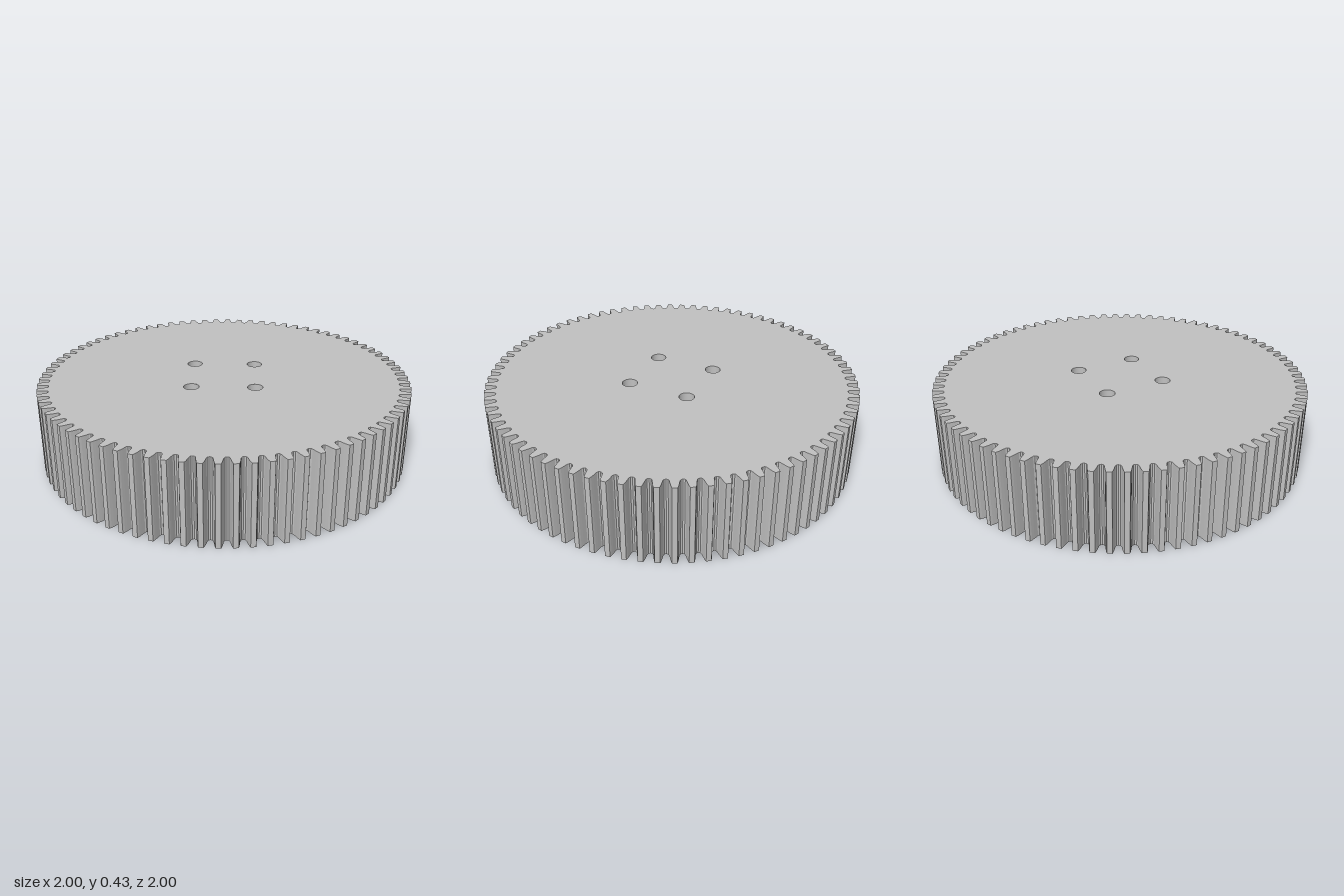
import * as THREE from 'three';

const TEETH = 80, HEIGHT = 0.43, BORE_R = 0.355, BORE_DEPTH = 0.38;
const PIN_R = 0.041, PIN_DIST = 0.238;

// Half of one tooth, tip to root: [radius, half width]
const FLANK = [[1, 0.0125], [0.988, 0.0165], [0.973, 0.0195], [0.948, 0.0235], [0.941, 0.028]];

// Closed counter-clockwise outline of the toothed rim
function gearOutline() {
  const half = [...FLANK].reverse().map(([r, w]) => [r, -w]).concat(FLANK);
  const points = [];
  for (let i = 0; i < TEETH; i++) {
    const centre = (i / TEETH) * Math.PI * 2;
    for (const [r, w] of half) {
      const a = centre + w / r;
      points.push(new THREE.Vector2(Math.cos(a) * r, Math.sin(a) * r));
    }
    const gap = centre + Math.PI / TEETH;
    points.push(new THREE.Vector2(Math.cos(gap) * 0.938, Math.sin(gap) * 0.938));
  }
  return points;
}

// Flat-shaded vertical wall around an outline
function outlineWall(points, height) {
  const pos = [];
  points.forEach((a, i) => {
    const b = points[(i + 1) % points.length];
    pos.push(a.x, 0, -a.y, b.x, 0, -b.y, b.x, height, -b.y);
    pos.push(a.x, 0, -a.y, b.x, height, -b.y, a.x, height, -a.y);
  });
  const geo = new THREE.BufferGeometry();
  geo.setAttribute('position', new THREE.Float32BufferAttribute(pos, 3));
  geo.computeVertexNormals();
  return geo;
}

// Smooth cylindrical wall facing its own axis
function inwardWall(radius, y0, y1, segments) {
  return new THREE.LatheGeometry([new THREE.Vector2(radius, y1), new THREE.Vector2(radius, y0)], segments);
}

function circle(x, y, r) {
  return new THREE.Path().absarc(x, y, r, 0, Math.PI * 2, true);
}

export function createModel() {
  const gear = new THREE.Group();
  gear.name = 'spurGear';
  const steel = new THREE.MeshStandardMaterial({ color: 0xc0c0c0 });
  steel.name = 'lightGrey';

  const add = (name, geometry, x = 0, y = 0, z = 0) => {
    const mesh = new THREE.Mesh(geometry, steel);
    mesh.name = name;
    mesh.position.set(x, y, z);
    gear.add(mesh);
  };
  const face = (shape, up) => new THREE.ShapeGeometry(shape, 48).rotateX(up ? -Math.PI / 2 : Math.PI / 2);

  const outline = gearOutline();
  const pins = [0, 1, 2, 3].map((i) => {
    const a = (i * Math.PI) / 2;
    return [Math.cos(a) * PIN_DIST, Math.sin(a) * PIN_DIST];
  });
  const pinHoles = () => pins.map(([x, y]) => circle(x, y, PIN_R));

  // Toothed rim
  add('teeth', outlineWall(outline, HEIGHT));

  // Top face with four pin holes
  const top = new THREE.Shape(outline);
  top.holes = pinHoles();
  add('topFace', face(top, true), 0, HEIGHT, 0);

  // Bottom face with the wide bore
  const bottom = new THREE.Shape(outline);
  bottom.holes = [circle(0, 0, BORE_R)];
  add('bottomFace', face(bottom, false));

  // Bore wall and its pierced ceiling
  add('boreWall', inwardWall(BORE_R, 0, BORE_DEPTH, 96));
  const ceiling = new THREE.Shape().absarc(0, 0, BORE_R, 0, Math.PI * 2, false);
  ceiling.holes = pinHoles();
  add('boreCeiling', face(ceiling, false), 0, BORE_DEPTH, 0);

  // Pin hole walls through the thin web
  pins.forEach(([x, z], i) => add('pinHole' + (i + 1), inwardWall(PIN_R, BORE_DEPTH, HEIGHT, 48), x, 0, z));

  return gear;
}
